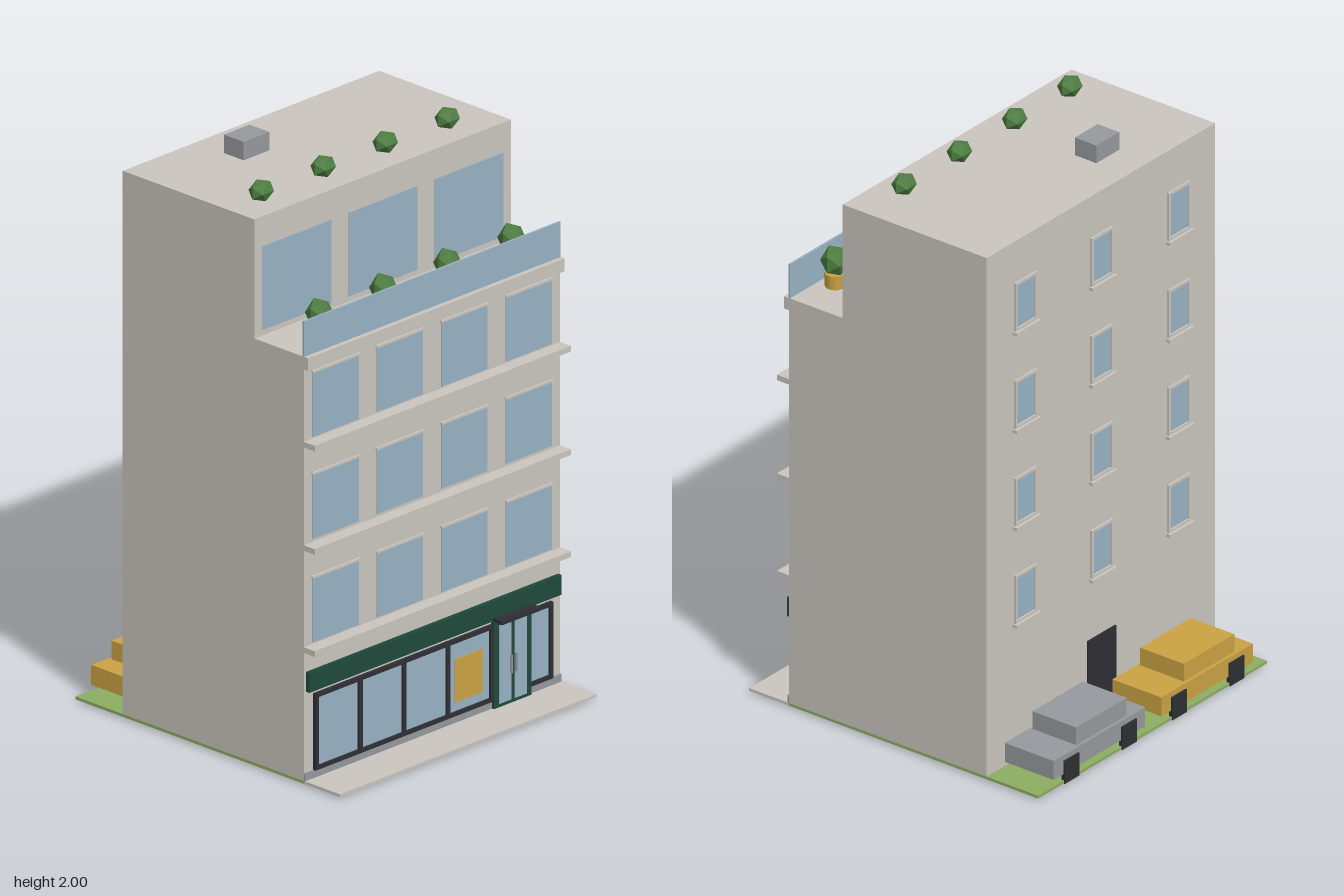
import * as THREE from 'three';

const paint = (name, color) => {
  const m = new THREE.MeshStandardMaterial({ color });
  m.name = name;
  return m;
};

export function createModel() {
  const model = new THREE.Group();
  model.name = 'shopBuilding';

  const wall = paint('stone wall', 0xcac6be);
  const glass = paint('window glass', 0x9ab3c4);
  const gold = paint('gold', 0xcaa343);
  const grey = paint('grey', 0x96999d);
  const grass = paint('grass', 0x8cae62);
  const leaf = paint('leaf green', 0x4f7f44);
  leaf.flatShading = true;
  const green = paint('shop green', 0x1f4a3a);
  const dark = paint('charcoal', 0x2e2f34);

  // Box given by its min and max on each axis
  const box = (parent, name, mat, x0, x1, y0, y1, z0, z1) => {
    const mesh = new THREE.Mesh(new THREE.BoxGeometry(x1 - x0, y1 - y0, z1 - z0), mat);
    mesh.position.set((x0 + x1) / 2, (y0 + y1) / 2, (z0 + z1) / 2);
    mesh.name = name;
    parent.add(mesh);
    return mesh;
  };
  const group = (name) => {
    const g = new THREE.Group();
    g.name = name;
    model.add(g);
    return g;
  };
  // Rectangular ring facing z
  const ring = (parent, name, mat, x0, x1, y0, y1, z0, z1, t) => {
    box(parent, name, mat, x0, x0 + t, y0, y1, z0, z1);
    box(parent, name, mat, x1 - t, x1, y0, y1, z0, z1);
    box(parent, name, mat, x0 + t, x1 - t, y0, y0 + t, z0, z1);
    box(parent, name, mat, x0 + t, x1 - t, y1 - t, y1, z0, z1);
  };

  // Ground
  box(model, 'lawn', grass, -0.6, 0.6, 0.008, 0.018, -0.6, 0.44);
  box(model, 'pavement', wall, -0.6, 0.6, 0.008, 0.018, 0.44, 0.605);
  box(model, 'doorStep', grey, 0.25, 0.465, 0, 0.012, 0.441, 0.545);

  // Stepped body: side outline extruded across the width
  const outline = new THREE.Shape();
  [[-0.44, 0.018], [0.385, 0.018], [0.385, 1.935], [-0.215, 1.935], [-0.215, 1.515], [-0.44, 1.515]]
    .forEach(([x, y], i) => (i ? outline.lineTo(x, y) : outline.moveTo(x, y)));
  const bodyGeo = new THREE.ExtrudeGeometry(outline, { depth: 1.2, bevelEnabled: false });
  bodyGeo.translate(0, 0, -0.6).rotateY(Math.PI / 2);
  const body = new THREE.Mesh(bodyGeo, wall);
  body.name = 'buildingBody';
  model.add(body);

  // Ledges and cornice
  box(model, 'cornice', wall, -0.6, 0.6, 1.47, 1.515, 0.44, 0.46);
  for (const y of [0.47, 0.83, 1.195]) box(model, 'ledge', wall, -0.6, 0.6, y, y + 0.02, 0.44, 0.49);

  // Front windows with slim lintels
  const front = group('frontWindows');
  for (const y of [0.495, 0.86, 1.22]) {
    for (const x of [-0.4525, -0.1525, 0.15, 0.4525]) {
      box(front, 'frontWindow', glass, x - 0.108, x + 0.108, y, y + 0.228, 0.439, 0.442);
      box(front, 'lintel', wall, x - 0.112, x + 0.112, y + 0.228, y + 0.236, 0.439, 0.448);
    }
  }
  for (const x of [-0.402, 0, 0.402]) {
    box(front, 'terraceWindow', glass, x - 0.16, x + 0.16, 1.535, 1.83, 0.213, 0.218);
  }
  box(model, 'terraceRailing', glass, -0.6, 0.6, 1.515, 1.64, 0.435, 0.442);

  // Shopfront
  const shop = group('shopfront');
  box(shop, 'plinth', grey, -0.6, 0.6, 0.018, 0.045, 0.439, 0.446);
  box(shop, 'signBand', green, -0.59, 0.59, 0.33, 0.4, 0.439, 0.456);
  box(shop, 'shopGlass', glass, -0.55, 0.55, 0.05, 0.31, 0.439, 0.445);
  ring(shop, 'shopFrame', dark, -0.557, 0.555, 0.045, 0.315, 0.439, 0.453, 0.014);
  for (const x of [-0.345, -0.14, 0.065, 0.27]) {
    box(shop, 'mullion', dark, x - 0.008, x + 0.008, 0.055, 0.305, 0.44, 0.453);
  }
  box(shop, 'poster', gold, 0.1, 0.23, 0.09, 0.243, 0.444, 0.448);

  // Double entrance door
  const door = group('entranceDoor');
  box(door, 'doorPanel', green, 0.275, 0.45, 0.018, 0.322, 0.44, 0.455);
  for (const s of [-1, 1]) {
    const x = 0.3625 + s * 0.036;
    box(door, 'doorGlass', glass, x - 0.028, x + 0.028, 0.03, 0.307, 0.45, 0.457);
    const h = 0.3625 + s * 0.012;
    box(door, 'doorHandle', grey, h - 0.003, h + 0.003, 0.125, 0.19, 0.456, 0.464);
  }
  box(door, 'doorCanopy', dark, 0.27, 0.45, 0.328, 0.34, 0.44, 0.498);

  // Back windows and back door
  const back = group('backWindows');
  for (const y of [0.525, 0.885, 1.245, 1.605]) {
    for (const x of [-0.405, 0, 0.4]) {
      box(back, 'backGlass', glass, x - 0.05, x + 0.05, y, y + 0.17, -0.387, -0.384);
      ring(back, 'backFrame', wall, x - 0.057, x + 0.057, y, y + 0.177, -0.393, -0.384, 0.01);
      box(back, 'sill', wall, x - 0.064, x + 0.064, y - 0.012, y, -0.403, -0.384);
    }
  }
  box(model, 'backDoor', dark, -0.073, 0.073, 0.018, 0.3, -0.391, -0.384);

  // Planters on the terrace and shrubs on the roof
  const shrub = (name, x, y, z, rx, ry, rz) => {
    const geo = new THREE.IcosahedronGeometry(1 / 0.8507, 0).rotateY(Math.PI / 2);
    const m = new THREE.Mesh(geo, leaf);
    m.scale.set(rx, ry, rz);
    m.position.set(x, y, z);
    m.name = name;
    model.add(m);
  };
  for (let i = 0; i < 4; i++) {
    const x = -0.46 + i * 0.3;
    const pot = new THREE.Mesh(new THREE.CylinderGeometry(0.035, 0.033, 0.05, 10), gold);
    pot.position.set(x, 1.54, 0.375);
    pot.name = 'planter';
    model.add(pot);
    shrub('terraceShrub', x, 1.609, 0.375, 0.042, 0.047, 0.041);
    shrub('roofShrub', -0.46 + i * 0.29, 1.967, 0.11, 0.042, 0.033, 0.033);
  }
  box(model, 'roofVent', grey, -0.26, -0.14, 1.935, 2, -0.255, -0.165);

  // Parked cars
  const car = (name, mat, x) => {
    const g = group(name);
    box(g, 'carBody', mat, x, x + 0.48, 0.04, 0.11, -0.597, -0.393);
    box(g, 'carCabin', mat, x + 0.082, x + 0.347, 0.11, 0.175, -0.585, -0.403);
    for (const wx of [0.05, 0.352]) {
      for (const z of [-0.603, -0.401]) {
        box(g, 'wheel', dark, x + wx, x + wx + 0.077, 0.006, 0.09, z, z + 0.014);
      }
    }
  };
  car('goldCar', gold, -0.53);
  car('greyCar', grey, 0.035);

  return model;
}
